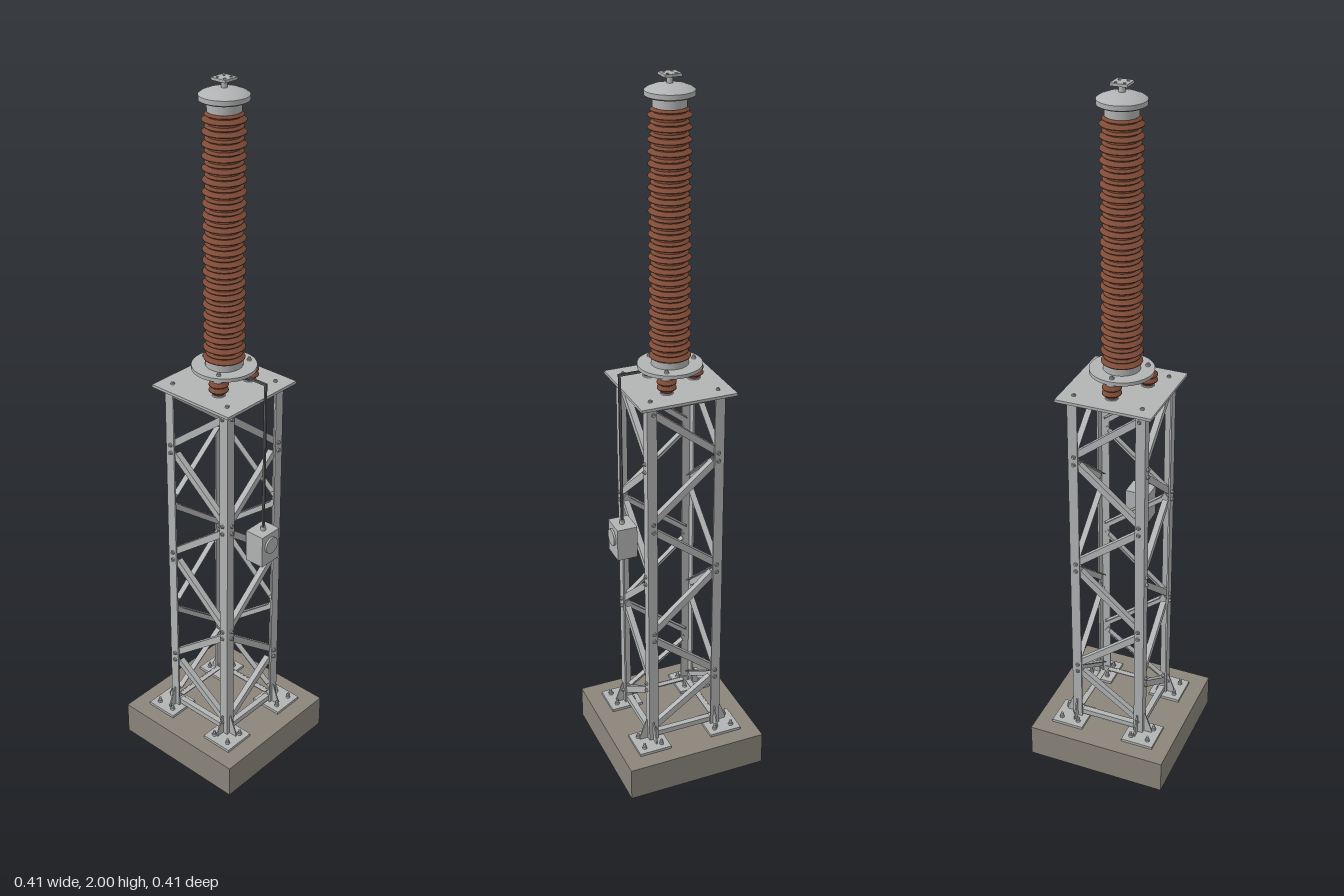
import * as THREE from 'three';

const steel = new THREE.MeshStandardMaterial({ color: 0xb2b3b4 });
steel.name = 'galvanised steel';
const concrete = new THREE.MeshStandardMaterial({ color: 0x8b857b });
concrete.name = 'concrete';
const porcelain = new THREE.MeshStandardMaterial({ color: 0x7d4a36 });
porcelain.name = 'brown porcelain';
const cable = new THREE.MeshStandardMaterial({ color: 0x5a5a5c });
cable.name = 'dark cable';

function add(parent, name, geometry, material, x = 0, y = 0, z = 0) {
  const mesh = new THREE.Mesh(geometry, material);
  mesh.name = name;
  mesh.position.set(x, y, z);
  parent.add(mesh);
  return mesh;
}
const box = (w, h, d) => new THREE.BoxGeometry(w, h, d);
const disc = (r, h, n = 40) => new THREE.CylinderGeometry(r, r, h, n);
const lathe = (pts, n = 40) => new THREE.LatheGeometry(pts.map(p => new THREE.Vector2(p[0], p[1])), n);

// L-shaped steel: outer corner at the origin, flanges along -x and -z, length along y
function angleGeometry(w, t, length) {
  const s = new THREE.Shape();
  [[0, 0], [0, w], [-t, w], [-t, t], [-w, t], [-w, 0]].forEach(([x, y], i) => (i ? s.lineTo(x, y) : s.moveTo(x, y)));
  return new THREE.ExtrudeGeometry(s, { depth: length, bevelEnabled: false }).rotateX(-Math.PI / 2).rotateY(0);
}

// Hex bolt standing on y = 0
function bolt(parent, x, y, z, r = 0.006, h = 0.006, stud = 0.005) {
  const g = new THREE.Group();
  g.name = 'bolt';
  add(g, 'nut', disc(r, h, 6), steel, 0, h / 2, 0);
  add(g, 'stud', disc(r * 0.55, h + stud, 10), steel, 0, (h + stud) / 2, 0);
  g.position.set(x, y, z);
  parent.add(g);
  return g;
}

const OUT = 0.111, FOOT = 0.108, TOP = 1.183, FLANGE = 0.028;
const NODES = [1.16, 1.0, 0.82, 0.65, 0.465, 0.29, 0.135];

// One lattice side, facing +z
function latticeSide(mirror) {
  const g = new THREE.Group();
  g.name = 'latticeSide';
  const span = 0.094, z = OUT - 0.0065;
  for (let i = 0; i < 6; i++) {
    const s = (i % 2 ? 1 : -1) * mirror;
    const a = new THREE.Vector2(s * span, NODES[i] - (i ? 0.012 : 0));
    const b = new THREE.Vector2(-s * span, NODES[i + 1] + 0.012);
    const d = b.clone().sub(a);
    const brace = new THREE.Group();
    brace.name = 'diagonalBrace';
    add(brace, 'braceFace', box(d.length(), 0.019, 0.003), steel);
    add(brace, 'braceLip', box(d.length() - 0.02, 0.003, 0.015), steel, 0, 0.008, -0.008);
    brace.position.set((a.x + b.x) / 2, (a.y + b.y) / 2, z);
    brace.rotation.z = Math.atan(d.y / d.x);
    g.add(brace);
    for (const p of [a, b]) bolt(g, p.x, p.y, OUT, 0.006, 0.004, 0.003).rotation.x = Math.PI / 2;
  }
  for (const y of [0.122, 1.174]) {
    add(g, 'horizontalTie', box(0.2, 0.016, 0.003), steel, 0, y, z);
    add(g, 'tieLip', box(0.17, 0.003, 0.016), steel, 0, y + 0.006, z - 0.008);
  }
  return g;
}

// Footplate, stiffeners, anchor bolts and angle leg for the +x +z corner
function corner() {
  const g = new THREE.Group();
  g.name = 'leg';
  add(g, 'legAngle', angleGeometry(FLANGE, 0.005, TOP - FOOT), steel, OUT, FOOT, OUT);
  add(g, 'footPlate', box(0.096, 0.008, 0.096), steel, OUT, 0.104, OUT);
  for (const dx of [-0.026, 0.026]) for (const dz of [-0.026, 0.026])
    bolt(g, OUT + dx, FOOT, OUT + dz, 0.007, 0.007, 0.009);
  const tri = new THREE.Shape();
  tri.moveTo(0, 0);
  tri.lineTo(0.024, 0);
  tri.lineTo(0.024, 0.008);
  tri.lineTo(0.004, 0.062);
  tri.lineTo(0, 0.062);
  const gusset = new THREE.ExtrudeGeometry(tri, { depth: 0.004, bevelEnabled: false });
  add(g, 'gusset', gusset, steel, OUT, FOOT, 0.096);
  add(g, 'gusset', gusset, steel, 0.096, FOOT, OUT).rotation.y = -Math.PI / 2;
  return g;
}

function postInsulator() {
  const g = new THREE.Group();
  g.name = 'postInsulator';
  add(g, 'postPorcelain', lathe([[0.001, 0], [0.016, 0], [0.016, 0.008], [0.026, 0.012], [0.026, 0.016], [0.017, 0.02],
    [0.017, 0.024], [0.026, 0.028], [0.026, 0.032], [0.016, 0.037], [0.016, 0.042], [0.001, 0.042]], 24), porcelain, 0, 0.003, 0);
  add(g, 'postFoot', disc(0.018, 0.005, 24), steel, 0, 0.0025, 0);
  add(g, 'postHead', disc(0.017, 0.005, 24), steel, 0, 0.0445, 0);
  bolt(g, 0, 0.057, 0, 0.0065, 0.005, 0.004);
  return g;
}

export function createModel() {
  const model = new THREE.Group();
  model.name = 'surgeArresterOnTower';

  // Foundation
  add(model, 'foundation', box(0.414, 0.1, 0.414), concrete, 0, 0.05, 0);

  // Lattice tower
  for (let i = 0; i < 4; i++) {
    const leg = corner();
    leg.rotation.y = i * Math.PI / 2;
    model.add(leg);
    const side = latticeSide(i < 2 ? 1 : -1);
    side.rotation.y = i * Math.PI / 2;
    model.add(side);
  }
  add(model, 'topPlate', box(0.27, 0.008, 0.27), steel, 0, 1.187, 0);
  for (const x of [-0.096, 0.096]) for (const z of [-0.096, 0.096]) bolt(model, x, 1.191, z, 0.006, 0.004, 0.002);

  // Three insulating feet under the base flange
  for (let i = 0; i < 3; i++) {
    const a = i * Math.PI * 2 / 3, post = postInsulator();
    post.position.set(Math.sin(a) * 0.069, 1.19, -Math.cos(a) * 0.069);
    model.add(post);
  }
  add(model, 'baseFlange', disc(0.087, 0.01, 56), steel, 0, 1.242, 0);
  add(model, 'lowerFitting', disc(0.05, 0.018), steel, 0, 1.256, 0);

  // Porcelain column with alternating sheds
  const pitch = 0.03, count = 22, y0 = 1.262, profile = [[0.04, 0]];
  for (let i = 0; i < count; i++) {
    const y = i * pitch;
    profile.push([0.041, y + 0.004], [0.055, y + 0.006], [0.0555, y + 0.008], [0.042, y + 0.016],
      [0.042, y + 0.018], [0.049, y + 0.02], [0.049, y + 0.0215], [0.041, y + 0.027]);
  }
  profile.push([0.04, count * pitch]);
  // Repeat each ring so shed rims stay crisp
  const column = lathe(profile.flatMap(p => [p, p]), 40);
  column.computeVertexNormals();
  add(model, 'porcelainColumn', column, porcelain, 0, y0, 0);

  // Cap and terminal
  add(model, 'upperFitting', disc(0.043, 0.026), steel, 0, 1.933, 0);
  add(model, 'cap', lathe([[0.001, 0], [0.056, 0], [0.056, 0], [0.063, 0.004], [0.063, 0.004], [0.063, 0.016], [0.063, 0.016],
    [0.056, 0.021], [0.04, 0.027], [0.02, 0.031], [0.0001, 0.032]], 48), steel, 0, 1.944, 0);
  add(model, 'terminalStem', disc(0.008, 0.022, 20), steel, 0, 1.984, 0);
  const pad = new THREE.Shape();
  const h = 0.0225;
  pad.moveTo(-h, -h);
  pad.lineTo(h, -h);
  pad.lineTo(h, h);
  pad.lineTo(-h, h);
  for (const x of [-0.0113, 0.0113]) for (const y of [-0.0113, 0.0113]) {
    const hole = new THREE.Path();
    hole.absarc(x, y, 0.004, 0, Math.PI * 2, true);
    pad.holes.push(hole);
  }
  add(model, 'terminalPad', new THREE.ExtrudeGeometry(pad, { depth: 0.007, bevelEnabled: false, curveSegments: 12 })
    .rotateX(-Math.PI / 2), steel, 0, 1.993, 0);

  // Discharge counter and its earth lead
  add(model, 'counterBox', box(0.07, 0.095, 0.058), steel, 0, 0.742, 0.141);
  add(model, 'counterDial', disc(0.024, 0.006, 32), steel, 0, 0.752, 0.173).rotation.x = Math.PI / 2;
  add(model, 'counterBushing', disc(0.007, 0.012, 16), steel, 0, 0.795, 0.143);
  add(model, 'leadDrop', box(0.006, 0.448, 0.006), cable, 0, 1.014, 0.143);
  add(model, 'leadArm', box(0.006, 0.006, 0.12), cable, 0, 1.235, 0.086);

  return model;
}
